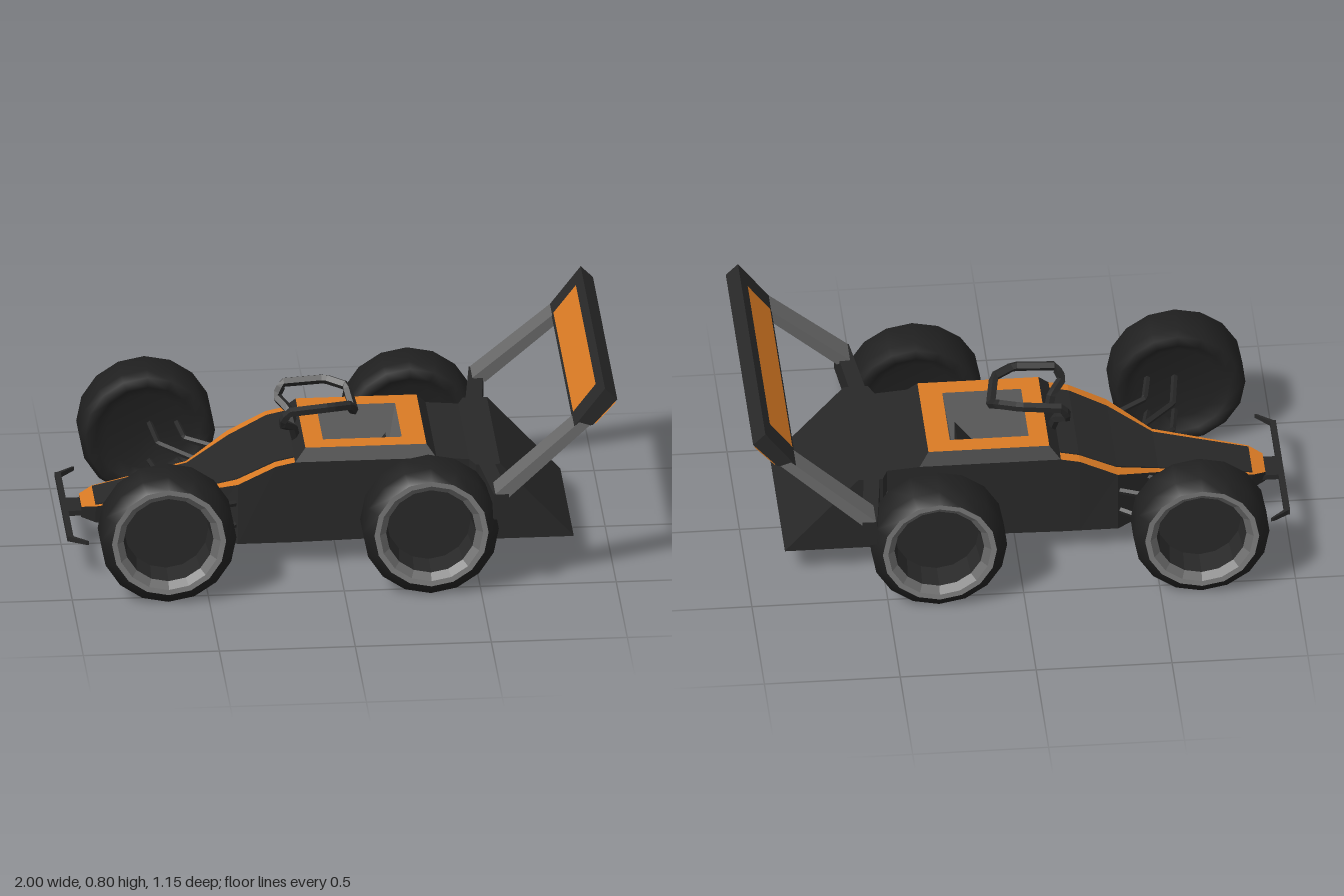
import * as THREE from 'three';

const paint = (name, color, flatShading = false) =>
  new THREE.MeshStandardMaterial({ name, color, flatShading, side: THREE.DoubleSide });

export function createModel() {
  const car = new THREE.Group();
  car.name = 'raceCar';
  const dark = paint('charcoal', 0x282828, true);
  const orange = paint('orange', 0xd97a24, true);
  const grey = paint('grey', 0x686868, true);
  const rubber = paint('rubber', 0x202020);
  const metal = paint('rimMetal', 0x7c7c7c);

  const add = (name, geometry, material) => {
    const m = new THREE.Mesh(geometry, material);
    m.name = name;
    car.add(m);
    return m;
  };

  // Flat faces from a list of four-cornered polygons
  const faces = (name, material, quads) => {
    const pos = quads.flatMap(([a, b, c, d]) => [a, b, c, a, c, d].flat());
    const g = new THREE.BufferGeometry();
    g.setAttribute('position', new THREE.Float32BufferAttribute(pos, 3));
    g.computeVertexNormals();
    return add(name, g, material);
  };

  // Skin between four-cornered rings; sides: 0 bottom, 1 right, 2 top, 3 left
  const loft = (name, material, rings, sides = [0, 1, 2, 3], caps = true) => {
    const quads = [];
    for (let k = 0; k + 1 < rings.length; k++) {
      const a = rings[k], b = rings[k + 1];
      for (const i of sides) {
        const j = (i + 1) % 4;
        quads.push([a[j], b[j], b[i], a[i]]);
      }
    }
    if (caps) quads.push([...rings[0]].reverse(), rings[rings.length - 1]);
    return faces(name, material, quads);
  };
  const loftPair = (name, material, rings) => {
    loft(name + 'Left', material, rings);
    loft(name + 'Right', material, rings.map(r => r.map(([x, y, z]) => [x, y, -z]).reverse()));
  };
  // Cross-section at x, symmetric in z
  const sec = ([x, yb, zb, yt, zt]) => [[x, yb, zb], [x, yb, -zb], [x, yt, -zt], [x, yt, zt]];
  // Cross-section at z, a rectangle in x and y
  const slab = (z, x0, x1, y0, y1) => [[x0, y0, z], [x1, y0, z], [x1, y1, z], [x0, y1, z]];

  // Nose: dark sides, orange top and underside with dark inlays
  const nose = [
    [-0.93, 0.13, 0.05, 0.175, 0.06], [-0.88, 0.12, 0.08, 0.19, 0.095],
    [-0.53, 0.095, 0.14, 0.255, 0.14], [-0.37, 0.09, 0.25, 0.325, 0.245],
    [-0.23, 0.09, 0.25, 0.395, 0.25], [-0.16, 0.09, 0.25, 0.41, 0.25],
  ];
  loft('noseSides', dark, nose.map(sec), [1, 3]);
  loft('noseTrim', orange, nose.map(sec), [0, 2], false);
  const inlay = [0, 0.08, 0.115, 0.195, 0.205, 0.205];
  loft('noseTopPanel', dark, nose.slice(1).map(([x, , , y], i) =>
    sec([x, y, inlay[i + 1], y + 0.005, inlay[i + 1]])));
  loft('noseUnderStripe', dark, nose.slice(1).map(([x, y], i) =>
    sec([x, y - 0.004, 0.035 + i * 0.006, y, 0.035 + i * 0.006])));

  // Cockpit tub and rear body
  loft('cockpitTub', dark, [[-0.16, 0.09, 0.25, 0.41, 0.25], [0.36, 0.1, 0.25, 0.41, 0.25]].map(sec), [0, 1, 3], false);
  loft('rearBody', dark, [
    [0.36, 0.1, 0.25, 0.41, 0.25], [0.48, 0.1, 0.25, 0.4, 0.25], [0.5, 0.1, 0.3, 0.4, 0.3],
    [0.59, 0.1, 0.3, 0.4, 0.3], [0.86, 0.1, 0.3, 0.102, 0.3],
  ].map(sec));

  // Cockpit surround: rectangles joined one to the next
  const rect = (x0, x1, z, y) => [[x0, y, z], [x1, y, z], [x1, y, -z], [x0, y, -z]];
  const band = (name, material, a, b) => faces(name, material,
    [0, 1, 2, 3].map(i => [a[i], a[(i + 1) % 4], b[(i + 1) % 4], b[i]]));
  const rimBase = rect(-0.16, 0.36, 0.25, 0.41);
  const rimTop = rect(-0.12, 0.325, 0.222, 0.455);
  const opening = rect(-0.05, 0.24, 0.152, 0.455);
  const floor = rect(-0.05, 0.207, 0.145, 0.24);
  band('cockpitCollar', dark, rimBase, rimTop);
  band('cockpitTrim', orange, rimTop, opening);
  band('cockpitWalls', grey, opening, floor);
  faces('cockpitFloor', dark, [floor]);
  loft('seat', dark, [[0.0, 0.24, 0.1, 0.26, 0.1], [0.13, 0.24, 0.1, 0.27, 0.1], [0.2, 0.24, 0.1, 0.36, 0.1]].map(sec));

  // Side pods
  loftPair('podBase', dark, [slab(0.25, 0.19, 0.51, 0.1, 0.31), slab(0.3, 0.19, 0.51, 0.1, 0.295)]);
  loftPair('podPanel', orange, [slab(0.3, 0.19, 0.51, 0.1, 0.295), slab(0.328, 0.22, 0.48, 0.12, 0.28)]);

  // Rear wing with its arms and struts
  loftPair('wingArm', dark, [slab(0.29, 0.51, 0.57, 0.3, 0.4), slab(0.575, 0.545, 0.6, 0.3, 0.4)]);
  const strutRing = (xb, yb, xu, yu, z0, z1) => [[xb, yb, z1], [xb, yb, z0], [xu, yu, z0], [xu, yu, z1]];
  loftPair('wingStrut', grey, [
    strutRing(0.598, 0.385, 0.55, 0.402, 0.47, 0.575),
    strutRing(0.9, 0.655, 0.86, 0.668, 0.447, 0.55),
  ]);
  const foil = [[0.84, 0.65], [0.91, 0.655], [1.0, 0.755], [0.955, 0.8]];
  loft('rearWing', dark, [-0.55, 0.55].map(z => foil.map(([x, y]) => [x, y, z])));
  const foilPlate = (name, [ax, ay], [bx, by], t0, t1, w) => {
    const len = Math.hypot(bx - ax, by - ay);
    const nx = (by - ay) / len * 0.004, ny = -(bx - ax) / len * 0.004;
    const at = (t, z) => [ax + (bx - ax) * t + nx, ay + (by - ay) * t + ny, z];
    faces(name, orange, [[at(t0, -w), at(t1, -w), at(t1, w), at(t0, w)].reverse()]);
  };
  foilPlate('wingTopPanel', foil[3], foil[0], 0.2, 0.92, 0.445);
  foilPlate('wingRearPanel', foil[1], foil[2], 0.07, 0.9, 0.549);

  // Front wing: bracket, bar and swept tips
  loft('frontWingBracket', dark, [
    [-0.99, 0.14, 0.06, 0.16, 0.06], [-0.92, 0.14, 0.06, 0.16, 0.06], [-0.87, 0.13, 0.06, 0.178, 0.06],
  ].map(sec));
  loft('frontWingBar', dark, [[-1, 0.14, 0.29, 0.16, 0.29], [-0.978, 0.14, 0.29, 0.16, 0.29]].map(sec));
  loftPair('frontWingTip', dark, [slab(0.285, -1, -0.978, 0.14, 0.16), slab(0.335, -0.935, -0.925, 0.145, 0.16)]);

  // Faceted bars following straight segments
  const bar = (name, pts, r, sides) => {
    const path = new THREE.CurvePath();
    const v = pts.map(p => new THREE.Vector3(...p));
    for (let i = 0; i + 1 < v.length; i++) path.add(new THREE.LineCurve3(v[i], v[i + 1]));
    add(name, new THREE.TubeGeometry(path, 24, r, sides, false), dark);
  };

  // Cockpit hoop
  const half = [[-0.14, 0.41, 0.05], [-0.155, 0.475, 0.075], [-0.2, 0.51, 0.125], [-0.175, 0.56, 0.138],
    [-0.02, 0.572, 0.132], [0.055, 0.56, 0.09], [0.075, 0.5, 0]];
  for (const s of [1, -1]) {
    const side = s > 0 ? 'Left' : 'Right';
    bar('cockpitHoop' + side, half.map(([x, y, z]) => [x, y, s * z]), 0.018, 5);

    // Suspension arms, upper and lower
    for (const [level, yIn, yOut] of [['upper', 0.25, 0.28], ['lower', 0.165, 0.13]]) {
      bar(level + 'FrontArm' + side, [[-0.49, yIn, s * 0.16], [-0.62, (yIn + yOut) / 2, s * 0.28], [-0.64, yOut, s * 0.43]], 0.012, 5);
      bar(level + 'RearArm' + side, [[-0.38, yIn, s * 0.24], [-0.52, (yIn + yOut) / 2, s * 0.32], [-0.54, yOut, s * 0.43]], 0.012, 5);
    }
    bar('rearAxle' + side, [[0.315, 0.25, s * 0.25], [0.315, 0.25, s * 0.43]], 0.03, 8);

    // Wheels: tyre, two rim rings and a deep hub
    for (const [end, x] of [['front', -0.65], ['rear', 0.315]]) {
      const turn = (part, material, profile) => {
        const g = new THREE.LatheGeometry(profile.map(p => new THREE.Vector2(...p)), 16);
        g.rotateX(s * Math.PI / 2);
        add(end + part + side, g, material).position.set(x, 0.25, 0);
      };
      turn('Tyre', rubber, [[0, 0.43], [0.15, 0.43], [0.19, 0.395], [0.23, 0.395], [0.25, 0.42],
        [0.25, 0.545], [0.21, 0.575]]);
      turn('RimEdge', metal, [[0.21, 0.575], [0.19, 0.573]]);
      turn('RimLip', grey, [[0.19, 0.573], [0.165, 0.55]]);
      turn('HubWall', dark, [[0.165, 0.55], [0.155, 0.45]]);
      turn('HubDisc', dark, [[0.155, 0.45], [0, 0.45]]);
    }
  }
  return car;
}
